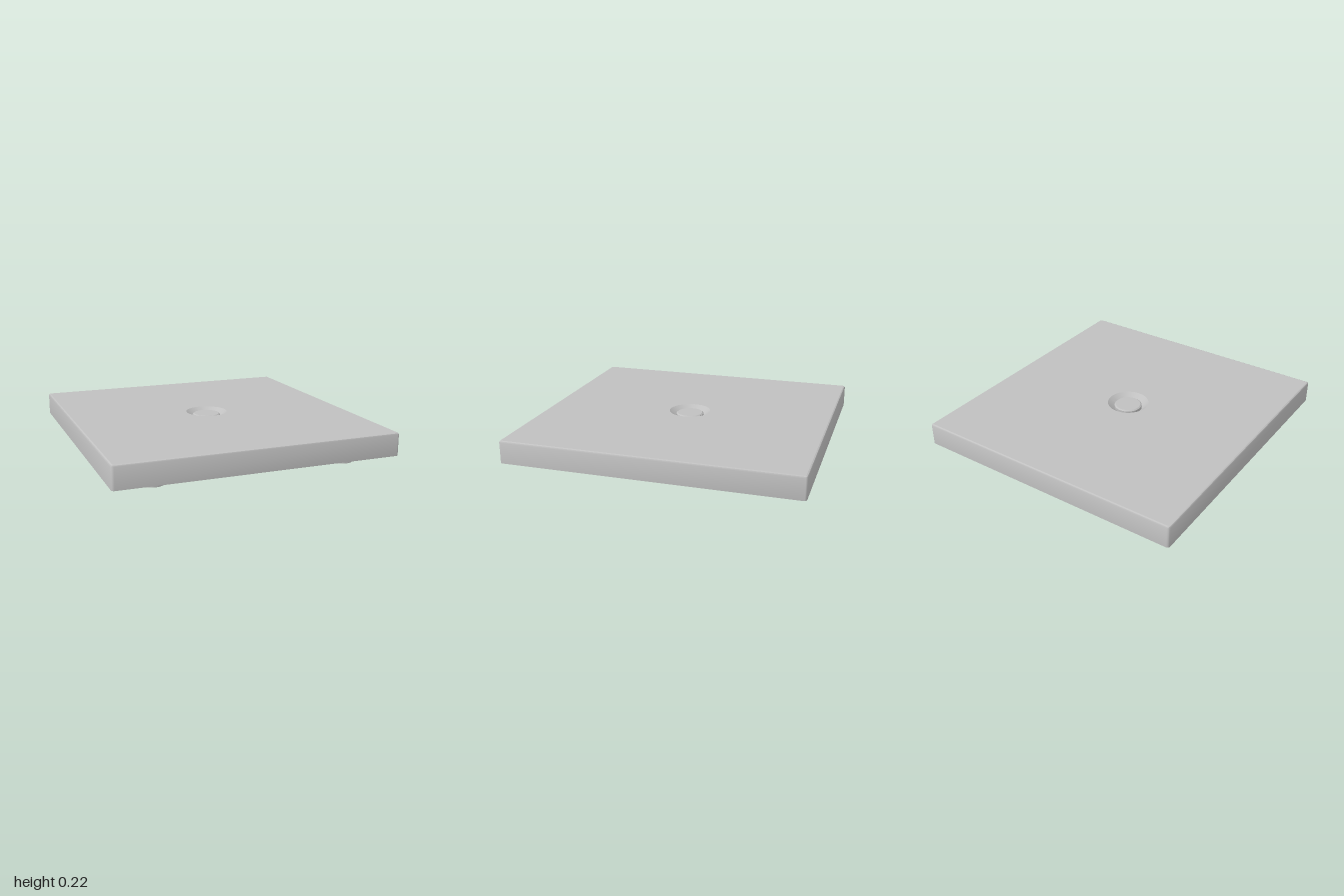
import * as THREE from 'three';
import { toCreasedNormals } from 'three/addons/utils/BufferGeometryUtils.js';

const HALF_X = 0.96, HALF_Z = 1, BOTTOM = 0.06, TOP = 0.215;

// Points of a rounded rectangle, inset from the outer footprint
function roundedRect(inset, steps = 4) {
  const r = Math.max(0.018 - inset, 0.008), points = [];
  for (let corner = 0; corner < 4; corner++) {
    const sx = corner === 0 || corner === 3 ? 1 : -1;
    const sz = corner < 2 ? 1 : -1;
    for (let i = 0; i <= steps; i++) {
      const a = (corner + i / steps) * Math.PI / 2;
      points.push(new THREE.Vector2(
        sx * (HALF_X - inset - r) + r * Math.cos(a),
        sz * (HALF_Z - inset - r) + r * Math.sin(a)));
    }
  }
  return points;
}

// Skin through a series of [inset, y] loops
function loft(sections) {
  const positions = [], index = [];
  const loops = sections.map(([inset]) => roundedRect(inset));
  const n = loops[0].length;
  loops.forEach((loop, s) => loop.forEach(p => positions.push(p.x, sections[s][1], p.y)));
  for (let s = 0; s < loops.length - 1; s++) {
    for (let i = 0; i < n; i++) {
      const a = s * n + i, b = s * n + (i + 1) % n;
      index.push(a, a + n, b, b, a + n, b + n);
    }
  }
  const geometry = new THREE.BufferGeometry();
  geometry.setAttribute('position', new THREE.Float32BufferAttribute(positions, 3));
  geometry.setIndex(index);
  return toCreasedNormals(geometry, 0.6);
}

// Flat sheet with a round hole, facing up or down
function sheet(inset, holeRadius, y, up) {
  const shape = new THREE.Shape(roundedRect(inset));
  shape.holes.push(new THREE.Path().absarc(0, 0, holeRadius, 0, Math.PI * 2, true));
  const geometry = new THREE.ShapeGeometry(shape, 32);
  geometry.rotateX(up ? -Math.PI / 2 : Math.PI / 2);
  return geometry.translate(0, y, 0);
}

function lathe(profile, crease = 0.5) {
  const points = profile.map(([r, y]) => new THREE.Vector2(r, y));
  return toCreasedNormals(new THREE.LatheGeometry(points, 64), crease);
}

export function createModel() {
  const group = new THREE.Group();
  const grey = new THREE.MeshStandardMaterial({ color: 0xc0c0c0, side: THREE.DoubleSide });
  grey.name = 'grey';
  const add = (name, geometry) => {
    const mesh = new THREE.Mesh(geometry, grey);
    mesh.name = name;
    group.add(mesh);
    return mesh;
  };

  // Plate edge, groove, thin rim, outer wall and softened top edge
  add('shell', loft([
    [0.052, BOTTOM], [0.052, 0.2], [0.012, 0.2], [0.012, BOTTOM],
    [0, BOTTOM], [0, 0.203], [0.004, 0.211], [0.012, TOP],
  ]));
  add('topSurface', sheet(0.012, 0.145, TOP, true));
  add('basePlate', sheet(0.052, 0.69, BOTTOM, false));

  // Shallow round recess below with a conical socket, and the dish above
  add('baseRecess', lathe([[0.11, 0.15], [0.17, 0.105], [0.58, 0.105], [0.69, BOTTOM]], 0.2));
  add('topDish', lathe([[0.145, TOP], [0.1, 0.178], [0.1, 0.15]]));

  // Ball hanging below, with a flat-topped neck
  const ball = [];
  for (let i = 0; i <= 16; i++) {
    const a = (i / 16) * Math.PI * 0.54;
    ball.push([0.12 * Math.sin(a), 0.15 - 0.12 * Math.cos(a)]);
  }
  add('ballButton', lathe([...ball, [0.097, 0.165], [0.097, 0.195], [0.088, 0.202], [0, 0.202]]));

  // Two hollow feet near the front
  for (const side of [-1, 1]) {
    const foot = add(side > 0 ? 'leftFoot' : 'rightFoot',
      lathe([[0.07, BOTTOM], [0.07, 0], [0.08, 0], [0.08, BOTTOM]]));
    foot.position.set(side * 0.655, 0, 0.78);
  }
  return group;
}
